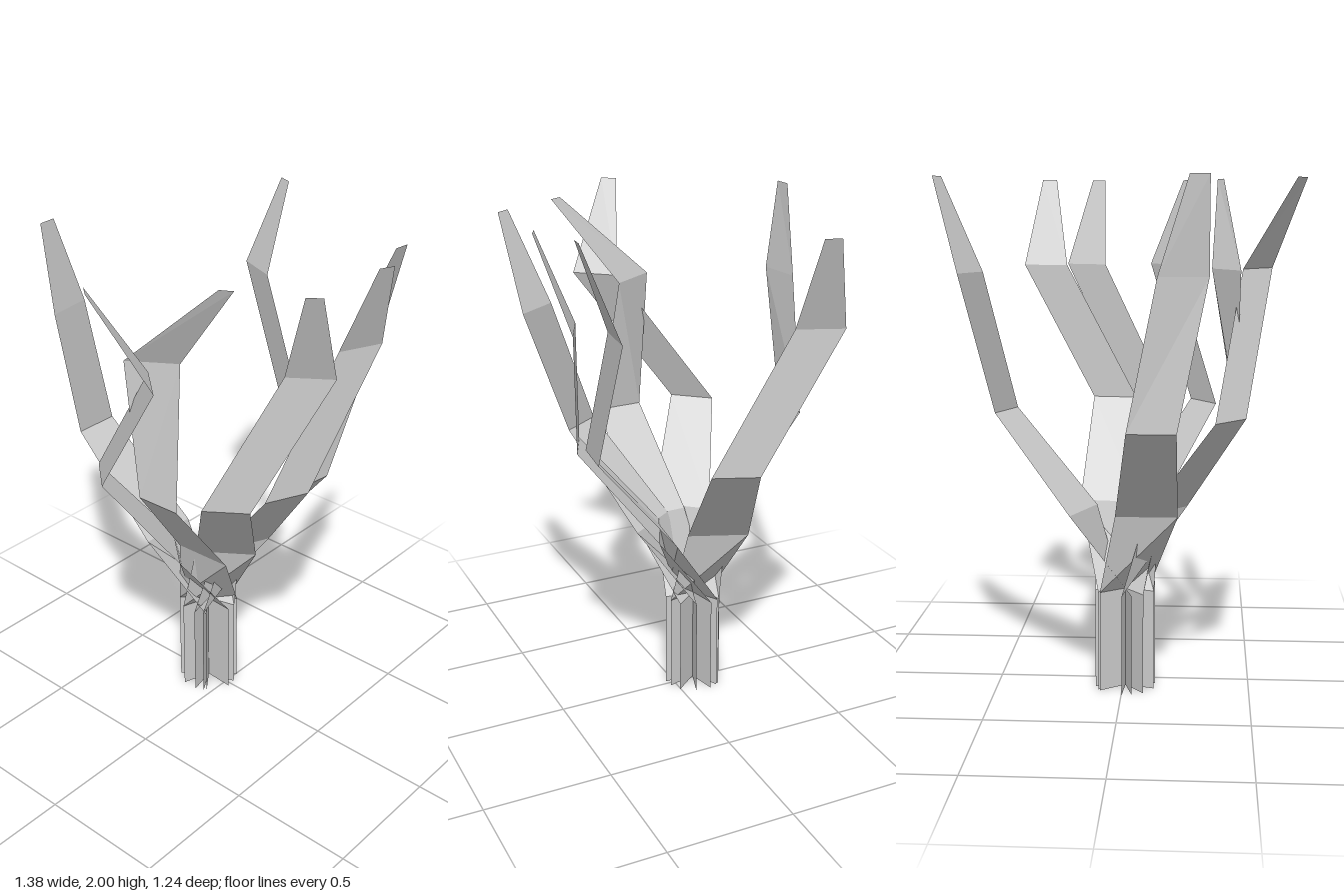
import * as THREE from 'three';

const HUB = [-0.01, -0.09];
const HEIGHTS = [0, 0.4, 0.72, 1.1, 1.65, 2];

// Shared blade: [outward, sideways, half width] at each upper height
const LOCAL = [[0.139, 0.088, 0.12], [0.45, 0.12, 0.09], [0.437, 0.411, 0.09], [0.567, 0.42, 0.03]];

// Heading in degrees from +x towards +z; the rear blades have their own
// bent upper edges, given as two [x, z] corners at the last two heights
const BLADES = [
  { heading: 21.7, reach: 0.46 },
  { heading: 96.3 },
  { heading: 114 },
  { heading: 145 },
  { heading: 178, reach: 0.43, top: [[[-0.45, -0.09], [-0.34, 0.08]], [[-0.385, 0.3], [-0.36, 0.345]]] },
  { heading: 220.5, reach: 0.43, top: [[[-0.46, 0.04], [-0.58, 0.18]], [[-0.66, -0.05], [-0.7, 0]]] },
  { heading: 270, reach: 0.5, top: [[[-0.15, -0.6], [-0.33, -0.575]], [[-0.26, -0.625], [-0.33, -0.62]]] },
];

function bladeEdges({ heading, reach = 0.45, top }) {
  const a = THREE.MathUtils.degToRad(heading);
  const u = [Math.cos(a), Math.sin(a)];
  const v = [u[1], -u[0]];
  const at = (out, side) => [0, 1].map((i) => HUB[i] + out * u[i] + side * v[i]);

  // Twisted stem edge through the hub, the same at both lower heights
  const stem = [at(0.072, -0.096), at(-0.072, 0.096)];
  const edges = [stem, stem];
  LOCAL.forEach(([out, side, half], i) => {
    const o = i === 1 ? reach : out;
    edges.push(top && i > 1 ? top[i - 2] : [at(o, side - half), at(o, side + half)]);
  });
  return edges;
}

// Strip of quads joining the edges from the ground to the tip
function bladeGeometry(blade) {
  const positions = [];
  const index = [];
  bladeEdges(blade).forEach((edge, i) => {
    edge.forEach(([x, z]) => positions.push(x, HEIGHTS[i], z));
    if (i > 0) {
      const k = 2 * (i - 1);
      index.push(k, k + 1, k + 3, k, k + 3, k + 2);
    }
  });
  const geometry = new THREE.BufferGeometry();
  geometry.setAttribute('position', new THREE.Float32BufferAttribute(positions, 3));
  geometry.setIndex(index);
  const flat = geometry.toNonIndexed();
  flat.computeVertexNormals();
  return flat;
}

export function createModel() {
  const group = new THREE.Group();
  group.name = 'plant';
  const material = new THREE.MeshStandardMaterial({
    color: 0xcccccc, flatShading: true, side: THREE.DoubleSide,
  });
  BLADES.forEach((blade, i) => {
    const mesh = new THREE.Mesh(bladeGeometry(blade), material);
    mesh.name = `leafBlade${i + 1}`;
    group.add(mesh);
  });
  return group;
}
